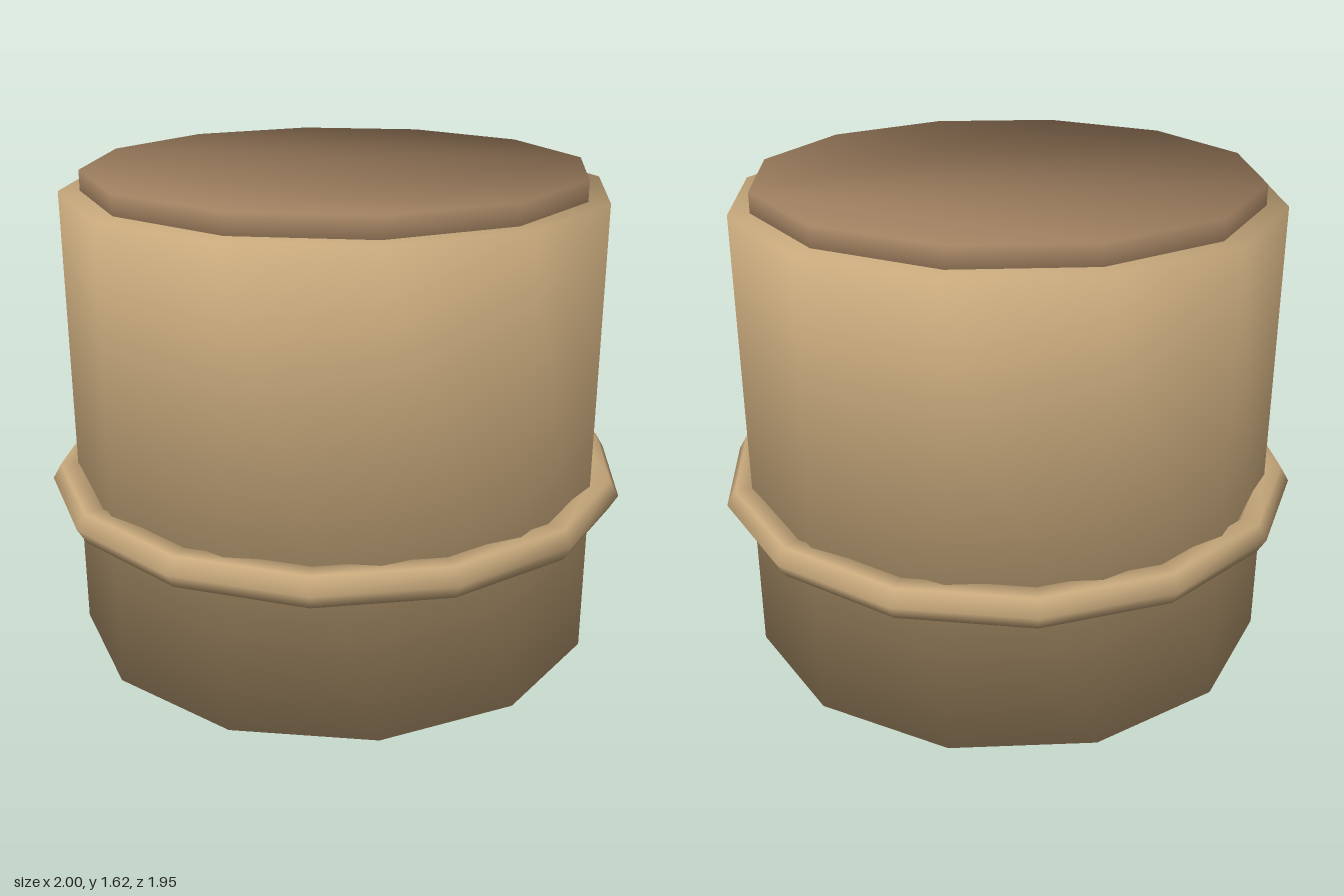
import * as THREE from 'three';

const SIDES = 12;

// Solid prism whose smooth normals are shared between the wall and the caps.
function softDrum(radius, bottom, top) {
  const positions = [], normals = [], index = [];
  // rim normal: cap and wall directions blended by their corner angles
  const out = 0.757, up = 0.653;
  for (let i = 0; i < SIDES; i++) {
    const a = (i / SIDES) * Math.PI * 2, c = Math.cos(a), s = Math.sin(a);
    positions.push(c * radius, bottom, s * radius, c * radius, top, s * radius);
    normals.push(c * out, -up, s * out, c * out, up, s * out);
  }
  for (let i = 0; i < SIDES; i++) {
    const j = (i + 1) % SIDES;
    const b0 = 2 * i, t0 = b0 + 1, b1 = 2 * j, t1 = b1 + 1;
    index.push(b0, t0, t1, b0, t1, b1); // wall
    if (i > 0 && j > 0) index.push(0, b0, b1, 1, t1, t0); // cap fans
  }
  const geometry = new THREE.BufferGeometry();
  geometry.setAttribute('position', new THREE.Float32BufferAttribute(positions, 3));
  geometry.setAttribute('normal', new THREE.Float32BufferAttribute(normals, 3));
  geometry.setIndex(index);
  return geometry;
}

export function createModel() {
  const tan = new THREE.MeshStandardMaterial({ color: 0xc8a97c });
  tan.name = 'tan';
  const brown = new THREE.MeshStandardMaterial({ color: 0xa08060 });
  brown.name = 'brown';

  const group = new THREE.Group();
  group.name = 'container';
  const add = (name, geometry, material) => {
    const mesh = new THREE.Mesh(geometry, material);
    mesh.name = name;
    group.add(mesh);
    return mesh;
  };

  add('body', softDrum(0.912, 0, 1.557), tan);
  add('lid', softDrum(0.842, 1.49, 1.624), brown);

  // Band around the lower body: hexagonal tube with fourteen segments
  const band = new THREE.TorusGeometry(0.94, 0.06, 6, 14).rotateX(Math.PI / 2);
  add('band', band, tan).position.y = 0.551;

  return group;
}
